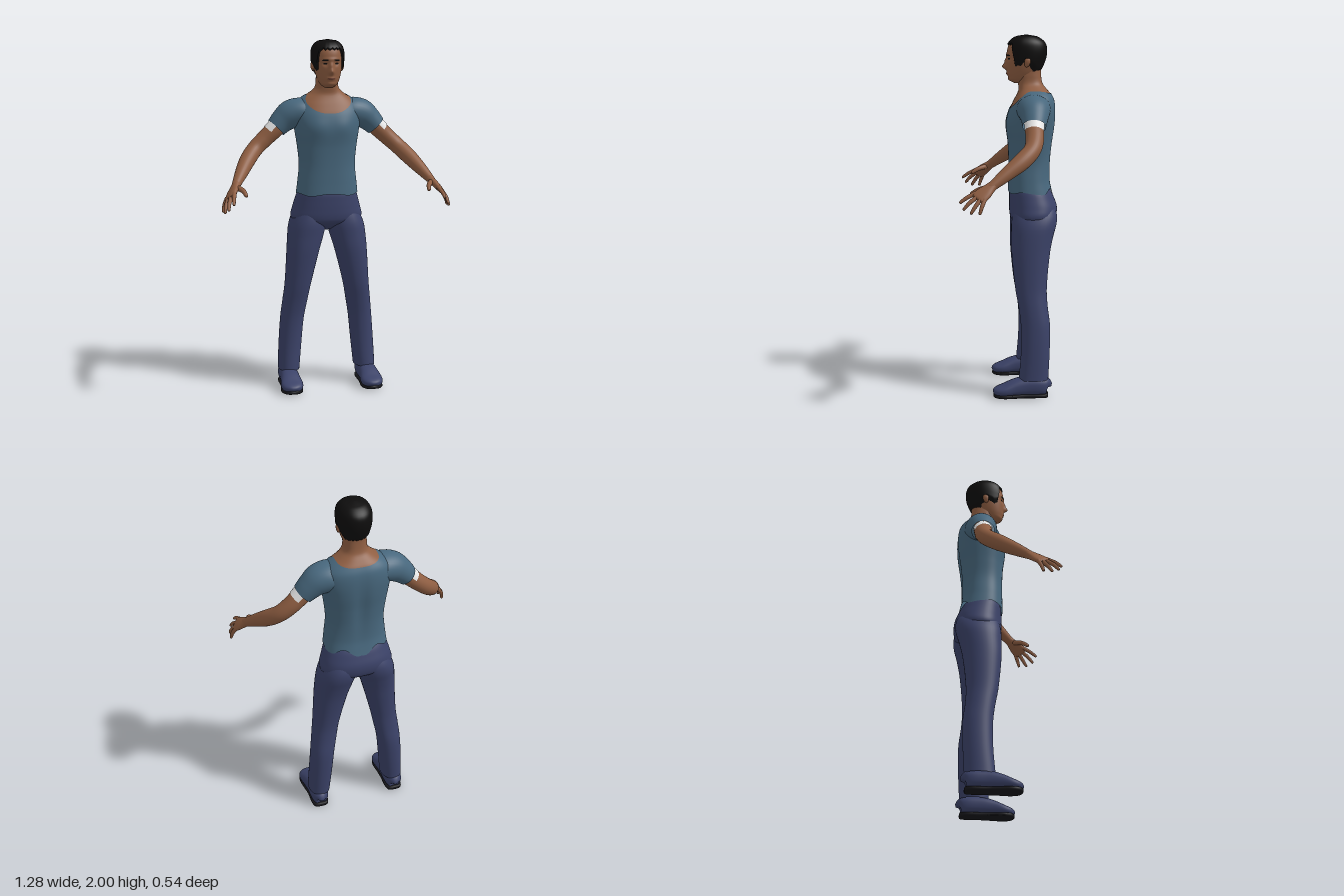
import * as THREE from 'three';

const TAU = Math.PI * 2;
const material = (name, color, side = THREE.FrontSide) => {
  const m = new THREE.MeshStandardMaterial({ color, side });
  m.name = name;
  return m;
};

// Smooth interpolation of rows whose first number is the key
function sample(rows, t) {
  const n = rows.length;
  let i = 0;
  while (i < n - 2 && t > rows[i + 1][0]) i++;
  const a = rows[i], b = rows[i + 1], h = b[0] - a[0];
  const s = Math.min(1, Math.max(0, (t - a[0]) / h)), s2 = s * s, s3 = s2 * s;
  const slope = (j, k) => {
    const p = rows[Math.max(0, j - 1)], q = rows[Math.min(n - 1, j + 1)];
    return (q[k] - p[k]) / (q[0] - p[0]);
  };
  return a.map((_, k) => (2 * s3 - 3 * s2 + 1) * a[k] + (s3 - 2 * s2 + s) * h * slope(i, k)
    + (3 * s2 - 2 * s3) * b[k] + (s3 - s2) * h * slope(i + 1, k));
}

// Mesh from a rule f(u, v) -> Vector3; u runs round the section, v along it
function surface(name, mat, f, nu, nv, closed = true) {
  const pos = [], idx = [], cols = closed ? nu : nu + 1;
  for (let j = 0; j <= nv; j++)
    for (let i = 0; i < cols; i++) pos.push(...f(i / nu, j / nv).toArray());
  for (let j = 0; j < nv; j++)
    for (let i = 0; i < nu; i++) {
      const a = j * cols + i, b = j * cols + (i + 1) % cols, c = b + cols, d = a + cols;
      idx.push(a, b, c, a, c, d);
    }
  const g = new THREE.BufferGeometry();
  g.setAttribute('position', new THREE.Float32BufferAttribute(pos, 3));
  g.setIndex(idx);
  g.computeVertexNormals();
  const mesh = new THREE.Mesh(g, mat);
  mesh.name = name;
  return mesh;
}

const mirrored = f => (u, v) => {
  const p = f(1 - u, v);
  p.x *= -1;
  return p;
};

const pow = (c, n) => Math.sign(c) * Math.abs(c) ** (2 / n);

// Horizontal section: rows are [y, left x, right x, front z, back z]; the angle's sine points forward
function ringPoint(rows, th, y, off = 0, n = 2.3) {
  const [, x1, x0, zf, zb] = sample(rows, y);
  return new THREE.Vector3(
    (x1 + x0) / 2 + ((x1 - x0) / 2 + off) * pow(Math.cos(th), n), y,
    (zf + zb) / 2 + ((zf - zb) / 2 + off) * pow(Math.sin(th), n));
}
const rings = (rows, off = 0, n = 2.3) => (u, v) =>
  ringPoint(rows, -u * TAU, rows[0][0] + v * (rows[rows.length - 1][0] - rows[0][0]), off, n);
const symmetric = rows => rows.map(([y, r, f, b]) => [y, r, -r, f, b]);

// Swept limb: points are [x, y, z, radius along side, radius across]
function limb(points, side = [0, 0, 1], from = 0, to = 1, n = 2) {
  const rows = points.map((p, i) => [i, ...p]), last = rows.length - 1;
  const at = t => new THREE.Vector3(...sample(rows, t).slice(1, 4));
  return (u, v) => {
    const t = v * last, th = (from + (to - from) * u) * TAU;
    const tan = at(Math.min(last, t + 0.02)).sub(at(Math.max(0, t - 0.02))).normalize();
    const s = new THREE.Vector3(...side);
    s.addScaledVector(tan, -s.dot(tan)).normalize();
    const across = tan.clone().cross(s), r = sample(rows, t);
    return at(t).addScaledVector(s, Math.max(0, r[4]) * pow(Math.cos(th), n))
      .addScaledVector(across, Math.max(0, r[5]) * pow(Math.sin(th), n));
  };
}

const bump = (d, w) => Math.exp(-((d / w) ** 2));
const ramp = THREE.MathUtils.smoothstep;

const TORSO = symmetric([
  [1.08, .178, .004, -.25], [1.14, .172, .003, -.235], [1.2, .165, .001, -.224], [1.3, .156, 0, -.226],
  [1.4, .165, .004, -.236], [1.5, .18, .014, -.25], [1.58, .19, 0, -.254], [1.64, .175, -.026, -.248],
  [1.675, .14, -.044, -.232], [1.7, .1, -.053, -.212], [1.73, .068, -.05, -.188], [1.78, .061, -.045, -.178],
  [1.84, .06, -.045, -.178]]);
const PELVIS = symmetric([
  [.92, .03, -.09, -.16], [.94, .1, -.055, -.2], [.97, .185, -.014, -.25], [1, .206, -.003, -.266],
  [1.05, .196, 0, -.268], [1.1, .182, 0, -.25], [1.13, .173, -.001, -.236], [1.16, .16, -.008, -.215]]);
const LEG = [
  [.1, .288, .165, -.048, -.212], [.25, .281, .15, -.06, -.22], [.4, .27, .135, -.06, -.222],
  [.5, .259, .117, -.048, -.21], [.6, .247, .098, -.03, -.205], [.8, .234, .048, -.01, -.224],
  [.9, .226, .018, -.009, -.245], [.96, .216, .004, -.009, -.262], [1.02, .19, .01, -.02, -.262], [1.08, .15, .03, -.04, -.23]];
const HEAD = symmetric([
  [1.735, .025, -.03, -.1], [1.75, .044, -.003, -.12], [1.77, .056, .005, -.14], [1.8, .067, .01, -.165],
  [1.84, .076, .012, -.185], [1.88, .081, .012, -.198], [1.92, .082, .01, -.2], [1.95, .076, -.002, -.19],
  [1.972, .06, -.024, -.165], [1.986, .036, -.055, -.135], [1.991, 0, -.095, -.095]]);

// Face relief: nose, brow, eye sockets, lips and chin
function headPoint(th, y, off = 0) {
  const p = ringPoint(HEAD, th, y, off, 2.15);
  if (Math.sin(th) > 0) {
    const x = Math.abs(p.x);
    p.z += bump(x, .014) * (.026 * bump(y - 1.825, .016) + .013 * bump(y - 1.855, .022))
      + .005 * bump(x, .06) * bump(y - 1.892, .01) - .008 * bump(x - .032, .018) * bump(y - 1.868, .013)
      + .006 * bump(x, .024) * bump(y - 1.786, .011) + .005 * bump(x, .03) * bump(y - 1.755, .012);
  }
  return p;
}

// Shirt outline rules
const neckline = th => {
  const s = Math.sin(th);
  return 1.692 - (s > 0 ? .1 * s ** 2.6 : .015 * s * s);
};
const hem = th => 1.132 + .006 * Math.sin(th * 5) + (Math.sin(th) < 0 ? .02 * Math.sin(th) ** 2 * Math.cos(th * 6) : 0);
const torsoPoint = (th, y, off) => {
  const p = ringPoint(TORSO, th, y, off, 2.4);
  if (Math.sin(th) < 0) p.z += .012 * bump(p.x, .035) * bump(y - 1.42, .18);
  else p.z += .006 * bump(Math.abs(p.x) - .075, .05) * bump(y - 1.52, .05);
  return p;
};
const hairline = th => {
  const s = Math.sin(th);
  return 1.78 + .05 * ramp(s, -.8, -.15) + .022 * bump(s, .14) + .115 * ramp(s, .5, .8) + .004 * Math.sin(th * 22);
};

export function createModel() {
  const skin = material('skin', 0x8f5e42, THREE.DoubleSide);
  const shirt = material('shirt blue', 0x48687e, THREE.DoubleSide);
  const denim = material('trouser navy', 0x3b4268, THREE.DoubleSide);
  const black = material('hair black', 0x0e0d0d, THREE.DoubleSide);
  const sole = material('sole dark', 0x17171b);
  const white = material('cuff white', 0xffffff, THREE.DoubleSide);
  const lip = material('lip brown', 0x6a3f30, THREE.DoubleSide);
  const model = new THREE.Group();
  model.name = 'standingMan';
  const add = (...args) => model.add(surface(...args));
  const pair = (name, mat, f, nu, nv, closed) => {
    add('left' + name, mat, f, nu, nv, closed);
    add('right' + name, mat, mirrored(f), nu, nv, closed);
  };

  // Torso, neck and trousers
  add('shirtBody', shirt, (u, v) => {
    const th = -u * TAU, y0 = hem(th);
    return torsoPoint(th, y0 + v * (neckline(th) - y0), .004);
  }, 72, 48);
  add('neck', skin, (u, v) => {
    const th = -u * TAU, y0 = neckline(th) - .03;
    return torsoPoint(th, y0 + v * (1.83 - y0), 0);
  }, 64, 24);
  add('trouserSeat', denim, rings(PELVIS), 64, 24);
  pair('TrouserLeg', denim, rings(LEG, 0, 2.2), 40, 40);

  // Head, hair and ears
  add('head', skin, (u, v) => headPoint(-u * TAU, 1.735 + v * .256), 112, 72);
  add('hair', black, (u, v) => {
    const th = -u * TAU, y0 = hairline(th);
    const p = headPoint(th, y0 + v * (1.991 - y0), .002 + .009 * Math.min(1, v * 6));
    p.y += .009 * v;
    return p;
  }, 96, 28);
  add('crown', black, (u, v) => new THREE.Vector3(
    .012 * (1 - v) * Math.cos(-u * TAU), 2, -.095 + .012 * (1 - v) * Math.sin(-u * TAU)), 24, 1);
  pair('Ear', skin, limb([[.08, 1.822, -.092, 0, 0], [.083, 1.83, -.094, .012, .006], [.087, 1.85, -.098, .017, .009],
    [.088, 1.866, -.1, .014, .007], [.086, 1.874, -.1, 0, 0]]), 14, 12);

  // Painted face details, lying just above the skin
  const patch = (a, y, w, h, tilt = 0, off = .002) => (u, v) => {
    const c = Math.cos(u * TAU) * v, s = Math.sin(u * TAU) * v;
    const p = headPoint(a - w * c, y + h * s + tilt * c);
    p.z += off;
    return p;
  };
  pair('Eyebrow', black, patch(1.17, 1.888, .24, .0045, -.001), 20, 3);
  pair('EyeWhite', skin, patch(1.18, 1.869, .19, .0055), 20, 3);
  pair('Eye', black, patch(1.18, 1.869, .15, .005, 0, .003), 20, 3);
  add('mouth', lip, patch(Math.PI / 2, 1.786, .34, .006), 28, 3);

  // Sleeves, white cuffs and arms
  pair('Sleeve', shirt, limb([[.1, 1.59, -.13, .09, .07], [.15, 1.595, -.13, .094, .08], [.205, 1.58, -.13, .086, .082],
    [.25, 1.548, -.13, .073, .07], [.29, 1.508, -.127, .063, .059]]), 36, 20);
  pair('Cuff', white, limb([[.28, 1.518, -.127, .056, .055], [.3, 1.498, -.126, .055, .054], [.319, 1.479, -.125, .054, .053]],
    [0, 0, 1], .54, .96), 20, 4, false);
  pair('Arm', skin, limb([[.25, 1.545, -.128, .05, .05], [.3, 1.498, -.127, .051, .05], [.36, 1.443, -.126, .049, .047],
    [.415, 1.392, -.108, .046, .045], [.465, 1.338, -.052, .046, .044], [.51, 1.28, .025, .037, .036],
    [.55, 1.225, .098, .026, .024], [.56, 1.21, .117, .026, .02]]), 28, 48);

  // Hands: a flat palm, four fingers and a thumb
  const across = [-.45, .4, .75];
  pair('Palm', skin, limb([[.545, 1.232, .09, .024, .022], [.56, 1.212, .115, .03, .02], [.576, 1.192, .14, .039, .018],
    [.591, 1.172, .165, .042, .015], [.599, 1.161, .178, .037, .011], [.602, 1.157, .183, 0, 0]], across, 0, 1, 2.4), 24, 20);
  const fingers = {
    IndexFinger: [[.572, 1.19, .185], [.582, 1.165, .235], [.587, 1.138, .272]],
    MiddleFinger: [[.588, 1.175, .175], [.605, 1.142, .22], [.613, 1.105, .253]],
    RingFinger: [[.6, 1.165, .16], [.62, 1.125, .19], [.628, 1.086, .215]],
    LittleFinger: [[.607, 1.16, .142], [.625, 1.122, .157], [.632, 1.084, .168]],
    Thumb: [[.55, 1.212, .125], [.523, 1.2, .172], [.51, 1.175, .215]],
  };
  for (const [name, [a, b, c]] of Object.entries(fingers)) {
    const r = name === 'Thumb' ? .0135 : .0105;
    const near = c.map((n, i) => n + (b[i] - n) * .12);
    pair(name, skin, limb([[...a, r * 1.15, r * 1.15], [...b, r, r], [...near, r * .7, r * .7], [...c, 0, 0]], across), 12, 14);
  }

  // Shoes and soles, swept from heel to toe
  pair('Shoe', denim, limb([[.232, .055, -.212, 0, 0], [.232, .06, -.206, .035, .044], [.232, .063, -.17, .05, .052],
    [.232, .063, -.09, .053, .053], [.234, .056, -.03, .057, .046], [.235, .042, .03, .064, .033],
    [.235, .034, .07, .053, .025], [.235, .03, .09, .028, .016], [.235, .028, .095, 0, 0]], [1, 0, 0], 0, 1, 2.4), 32, 40);
  pair('Sole', sole, limb([[.232, .012, -.212, 0, 0], [.232, .012, -.206, .036, .012], [.232, .012, -.17, .05, .012],
    [.232, .012, -.09, .05, .012], [.234, .012, -.03, .056, .012], [.235, .012, .03, .063, .012],
    [.235, .013, .07, .052, .012], [.235, .015, .09, .027, .01], [.235, .016, .095, 0, 0]], [1, 0, 0], 0, 1, 4), 32, 32);
  return model;
}
